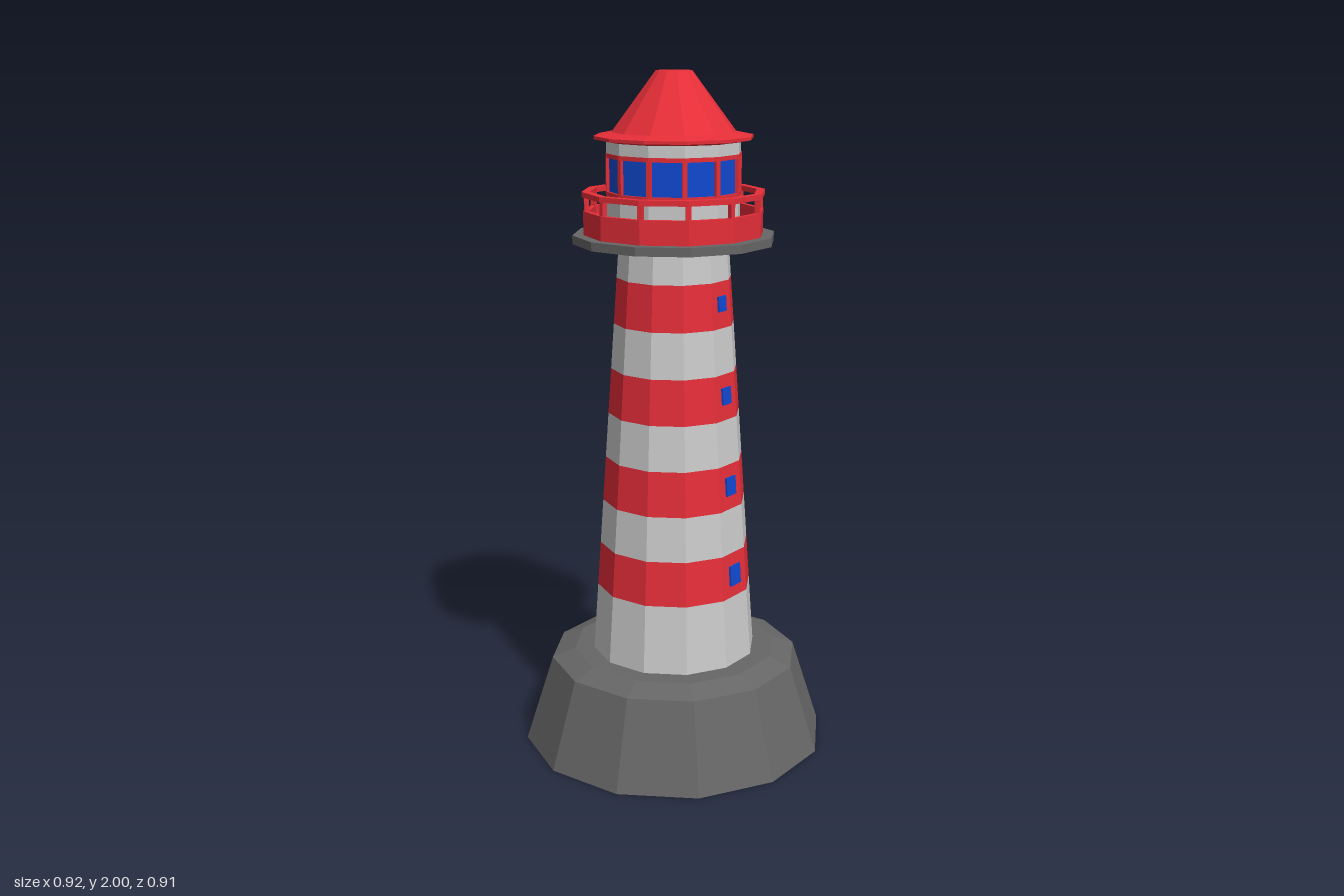
import * as THREE from 'three';

const SIDES = 12;
const STEP = (Math.PI * 2) / SIDES;
const APOTHEM = Math.cos(STEP / 2); // face distance relative to corner radius

const mat = (color) => new THREE.MeshStandardMaterial({ color, flatShading: true });
const STONE = mat(0x666666), WHITE = mat(0xcccccc), RED = mat(0xe62e38), BLUE = mat(0x1148d0);

// Tower radius at a given height
const TOWER_SLOPE = 0.0695;
const towerRadius = (y) => 0.246 - (y - 0.28) * TOWER_SLOPE;

export function createModel() {
  const root = new THREE.Group();
  root.name = 'lighthouse';

  const add = (name, geometry, material, parent = root) => {
    const mesh = new THREE.Mesh(geometry, material);
    mesh.name = name;
    parent.add(mesh);
    return mesh;
  };
  // Twelve-sided turned part from [radius, height] pairs, listed upwards on the outside
  const turned = (name, profile, material) =>
    add(name, new THREE.LatheGeometry(profile.map(([r, y]) => new THREE.Vector2(r, y)), SIDES), material);
  // Hollow ring with a rectangular section
  const ring = (name, rIn, rOut, y0, y1, material) =>
    turned(name, [[rIn, y0], [rOut, y0], [rOut, y1], [rIn, y1], [rIn, y0]], material);
  // Upright bars on all corners
  const bars = (name, radius, width, y0, y1, material) => {
    const group = new THREE.Group();
    group.name = name;
    root.add(group);
    for (let i = 0; i < SIDES; i++) {
      const bar = add(name + i, new THREE.BoxGeometry(width, y1 - y0, width), material, group);
      bar.position.set(Math.sin(i * STEP) * radius, (y0 + y1) / 2, Math.cos(i * STEP) * radius);
      bar.rotation.y = i * STEP;
    }
  };
  // Place an object on a sloping face: turned to the face, then leaned back
  const onFace = (object, angle, radius, y, lean) => {
    object.rotation.order = 'YXZ';
    object.rotation.set(-lean, angle, 0);
    const d = radius * APOTHEM;
    object.position.set(Math.sin(angle) * d, y, Math.cos(angle) * d);
  };

  // Stone base
  turned('base', [[0, 0], [0.456, 0], [0.373, 0.26], [0.305, 0.285], [0, 0.285]], STONE);

  // Door frame standing out of the base
  const frame = new THREE.Shape([[-0.076, 0], [0.076, 0], [0.066, 0.195], [-0.066, 0.195]]
    .map(([x, y]) => new THREE.Vector2(x, y)));
  frame.holes.push(new THREE.Path([[-0.06, 0.014], [-0.051, 0.18], [0.051, 0.18], [0.06, 0.014]]
    .map(([x, y]) => new THREE.Vector2(x, y))));
  const door = add('doorFrame', new THREE.ExtrudeGeometry(frame, { depth: 0.024, bevelEnabled: false }), STONE);
  onFace(door, 3.5 * STEP, 0.453, 0.008, Math.atan((0.083 * APOTHEM) / 0.26));
  door.geometry.translate(0, 0, -0.004);

  // Striped tower
  const levels = [0.28, 0.49, 0.623, 0.756, 0.889, 1.022, 1.155, 1.288, 1.421, 1.53];
  for (let i = 0; i < levels.length - 1; i++) {
    const [a, b] = [levels[i], levels[i + 1]];
    turned('towerBand' + i, [[towerRadius(a), a], [towerRadius(b), b]], i % 2 ? RED : WHITE);
  }

  // Small windows up one face of the tower
  [0.555, 0.825, 1.092, 1.358].forEach((y, i) => {
    const s = 1 - i * 0.09;
    const pane = add('window' + i, new THREE.BoxGeometry(0.05 * s, 0.06 * s, 0.012), BLUE);
    onFace(pane, STEP / 2, towerRadius(y), y, Math.atan(TOWER_SLOPE * APOTHEM));
  });

  // Gallery deck, parapet and railing
  turned('galleryDeck', [[0, 1.505], [0.16, 1.505], [0.292, 1.52], [0.292, 1.545], [0, 1.545]], STONE);
  ring('parapet', 0.244, 0.26, 1.54, 1.613, RED);
  bars('railPost', 0.25, 0.014, 1.61, 1.655, RED);
  ring('handrail', 0.24, 0.264, 1.652, 1.667, RED);

  // Lantern room
  turned('lanternWall', [[0.192, 1.54], [0.192, 1.66], [0, 1.66]], WHITE);
  turned('lanternGlass', [[0.187, 1.655], [0.187, 1.77]], BLUE);
  bars('glazingBar', 0.187, 0.014, 1.655, 1.77, RED);
  ring('lowerGlazingRing', 0.18, 0.195, 1.655, 1.667, RED);
  ring('upperGlazingRing', 0.18, 0.195, 1.762, 1.774, RED);
  turned('lanternCollar', [[0, 1.774], [0.193, 1.774], [0.193, 1.815]], WHITE);

  // Roof with flared eave
  turned('roof', [[0, 1.806], [0.19, 1.806], [0.228, 1.813], [0.228, 1.822], [0.178, 1.832],
    [0.052, 2], [0, 2]], RED);

  return root;
}
